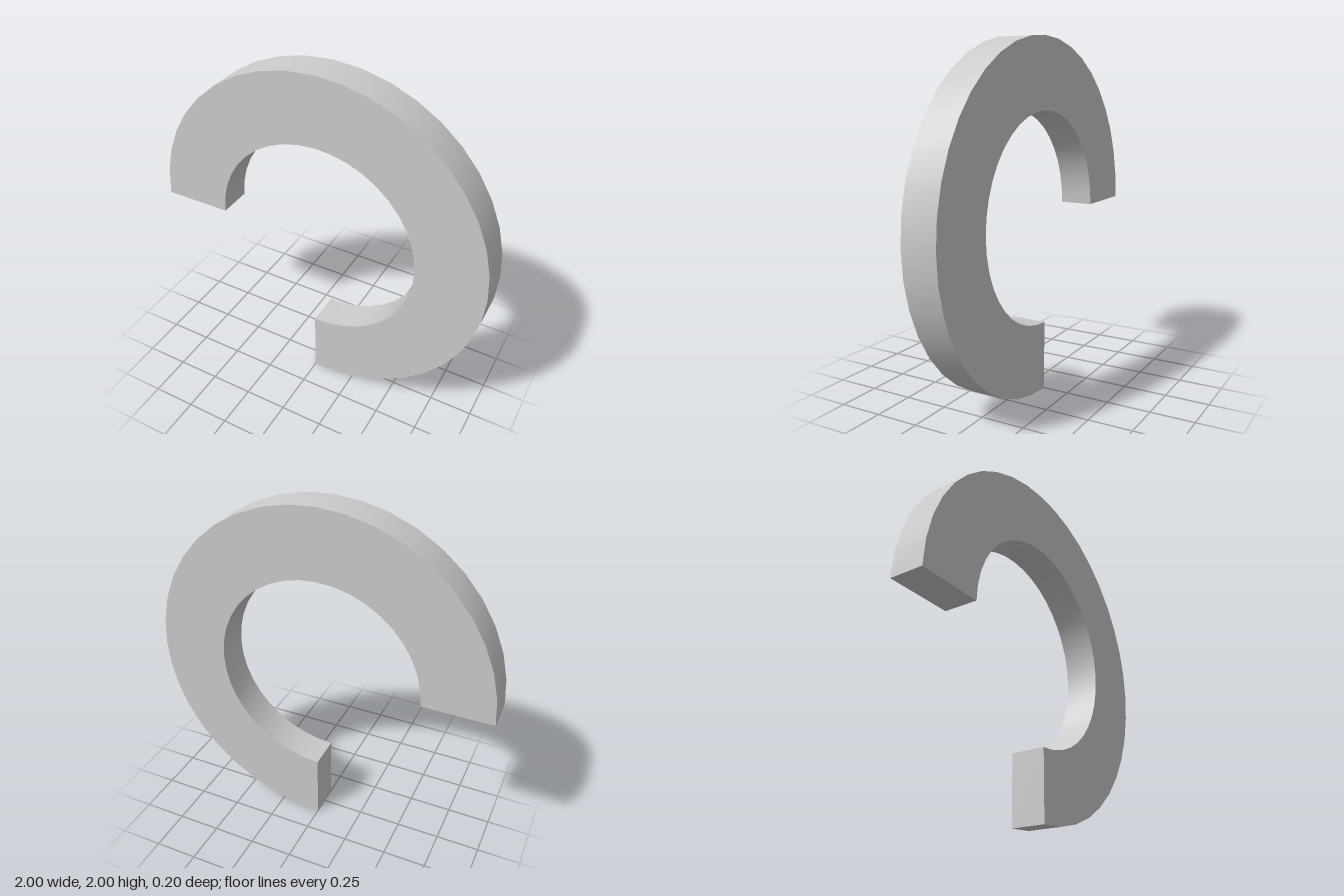
import * as THREE from 'three';
import { toCreasedNormals } from 'three/addons/utils/BufferGeometryUtils.js';

export function createModel() {
  const group = new THREE.Group();
  group.name = 'openRing';

  const outerRadius = 1, innerRadius = 0.6, depth = 0.2;
  const start = -Math.PI / 2, end = Math.PI;

  // Three-quarter ring outline, open at the lower left
  const outline = new THREE.Shape();
  outline.absarc(0, 0, outerRadius, start, end, false);
  outline.absarc(0, 0, innerRadius, end, start, true);
  outline.closePath();

  // Each arc gets twice curveSegments: 30 steps of 9 degrees
  const extruded = new THREE.ExtrudeGeometry(outline, {
    depth, curveSegments: 15, bevelEnabled: false,
  });
  extruded.translate(0, outerRadius, -depth / 2);

  // Smooth curved walls, sharp rims and ends
  const ring = new THREE.Mesh(
    toCreasedNormals(extruded, Math.PI / 6),
    new THREE.MeshStandardMaterial({ color: 0xcccccc }),
  );
  ring.name = 'threeQuarterRing';
  group.add(ring);
  return group;
}
